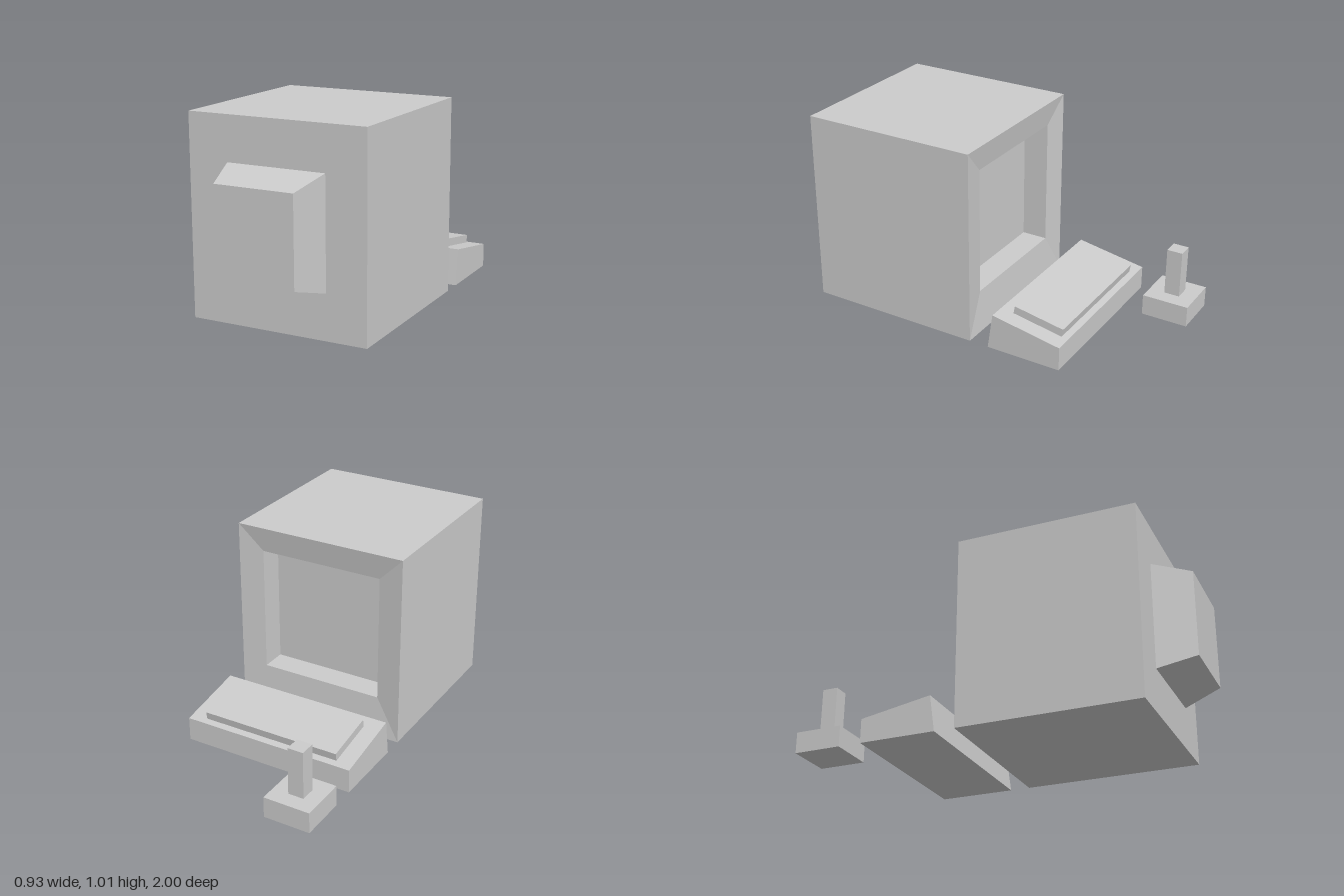
import * as THREE from 'three';

const material = new THREE.MeshStandardMaterial({ color: 0xcccccc, flatShading: true });

function addPart(parent, name, geometry) {
  const mesh = new THREE.Mesh(geometry, material);
  mesh.name = name;
  parent.add(mesh);
  return mesh;
}

// Skins rectangular sections [z, halfWidth, bottom, top], listed front to back, with capped ends.
function loftRectangles(sections) {
  const positions = [];
  const rings = sections.map(([z, w, y0, y1]) => [[-w, y0, z], [w, y0, z], [w, y1, z], [-w, y1, z]]);
  const quad = (a, b, c, d) => positions.push(...a, ...b, ...c, ...a, ...c, ...d);
  quad(...rings[0]);
  for (let i = 0; i < rings.length - 1; i++) {
    for (let j = 0; j < 4; j++) {
      const k = (j + 1) % 4;
      quad(rings[i][j], rings[i + 1][j], rings[i + 1][k], rings[i][k]);
    }
  }
  quad(...rings[rings.length - 1].slice().reverse());
  const geometry = new THREE.BufferGeometry();
  geometry.setAttribute('position', new THREE.Float32BufferAttribute(positions, 3));
  geometry.computeVertexNormals();
  return geometry;
}

// Extrudes a side profile of [z, y] points across the x axis.
function extrudeProfile(points, width) {
  const shape = new THREE.Shape(points.map(([z, y]) => new THREE.Vector2(z, y)));
  return new THREE.ExtrudeGeometry(shape, { depth: width, bevelEnabled: false })
    .rotateY(-Math.PI / 2)
    .translate(width / 2, 0, 0);
}

function box(width, height, depth, x, bottom, z) {
  return new THREE.BoxGeometry(width, height, depth).translate(x, bottom + height / 2, z);
}

export function createModel() {
  const model = new THREE.Group();
  model.name = 'desktopComputer';

  // Monitor: housing, shallow sloped bezel and recessed screen in one skin
  const monitor = new THREE.Group();
  monitor.name = 'monitor';
  model.add(monitor);
  addPart(monitor, 'monitorHousing', loftRectangles([
    [0.805, 0.467, 0, 1.015],
    [-0.13, 0.467, 0, 1.015],
    [-0.11, 0.335, 0.217, 0.882],
    [0.027, 0.335, 0.217, 0.882],
  ]));
  // Tapered tube cover on the opposite side from the screen
  addPart(monitor, 'tubeCover', loftRectangles([
    [1, 0.206, 0.287, 0.733],
    [0.805, 0.258, 0.23, 0.789],
  ]));

  // Keyboard: sloped wedge with a raised key pad
  const keyboard = new THREE.Group();
  keyboard.name = 'keyboard';
  model.add(keyboard);
  addPart(keyboard, 'keyboardBase', extrudeProfile(
    [[-0.235, 0], [-0.262, 0.19], [-0.635, 0.125], [-0.635, 0]], 0.934));
  addPart(keyboard, 'keyPad', extrudeProfile(
    [[-0.329, 0.172], [-0.337, 0.219], [-0.607, 0.172], [-0.599, 0.125]], 0.756));

  // Joystick
  const joystick = new THREE.Group();
  joystick.name = 'joystick';
  model.add(joystick);
  addPart(joystick, 'joystickBase', box(0.246, 0.11, 0.246, -0.344, 0, -0.877));
  addPart(joystick, 'joystickStick', box(0.082, 0.25, 0.082, -0.346, 0.11, -0.877));

  return model;
}
